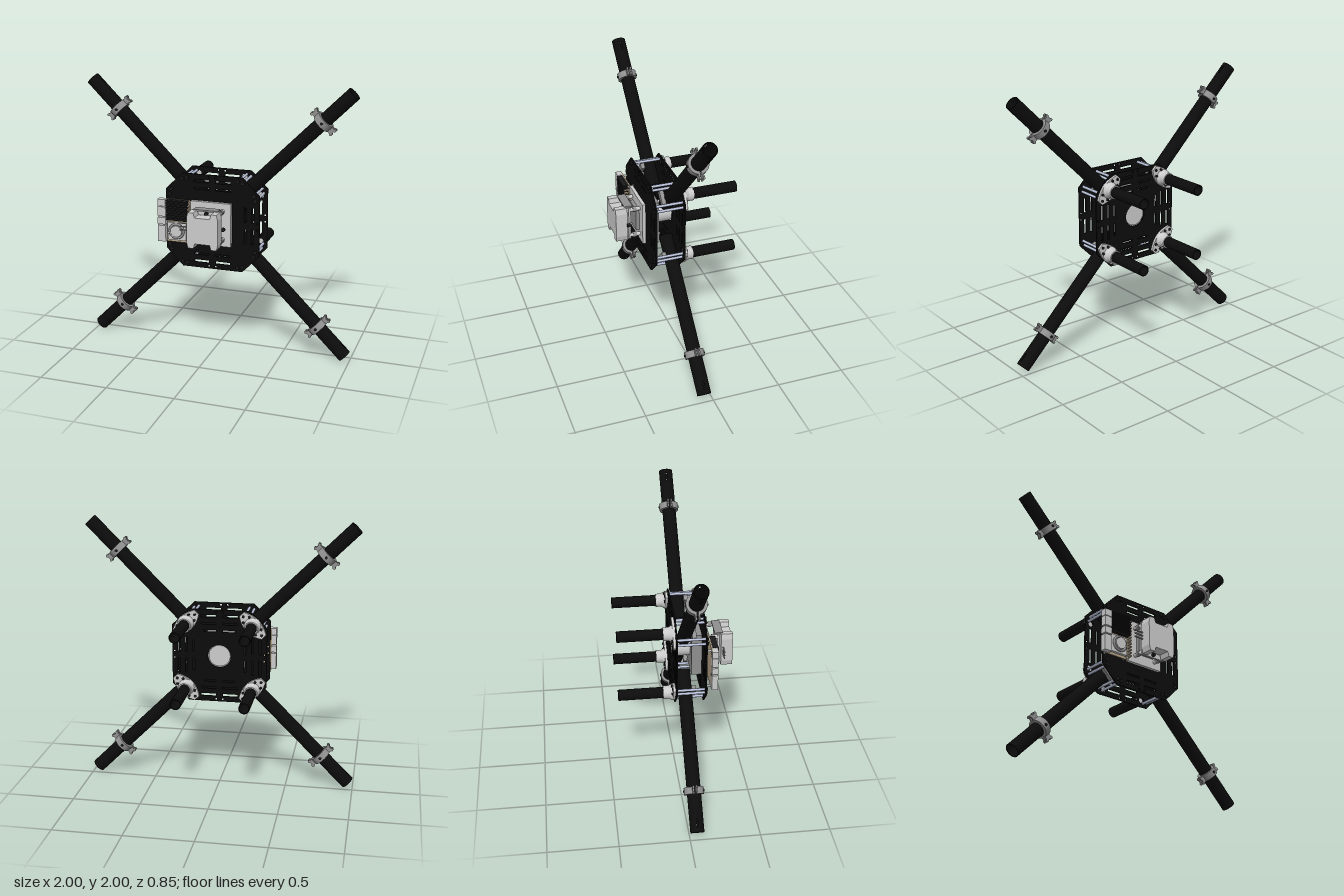
import * as THREE from 'three';

const mat = (color, side = THREE.FrontSide) => new THREE.MeshStandardMaterial({ color, side });
const carbon = mat(0x0c0c0c), carbonTube = mat(0x0c0c0c, THREE.DoubleSide);
const grey = mat(0xcccccc), metal = mat(0x909090), dark = mat(0x1c1c1c);
const steel = mat(0xb8c0d8), tan = mat(0xb5a488);

function add(parent, name, geo, material, x = 0, y = 0, z = 0) {
  const m = new THREE.Mesh(geo, material);
  m.name = name;
  m.position.set(x, y, z);
  parent.add(m);
  return m;
}
const box = (p, n, m, w, h, d, x, y, z) => add(p, n, new THREE.BoxGeometry(w, h, d), m, x, y, z);
// cylinder along z, running from z0 to z1
function rod(p, n, m, r, x, y, z0, z1, r1 = r, seg = 24) {
  const g = new THREE.CylinderGeometry(r1, r, z1 - z0, seg).rotateX(Math.PI / 2);
  return add(p, n, g, m, x, y, (z0 + z1) / 2);
}
const poly = pts => new THREE.Shape(pts.map(([x, y]) => new THREE.Vector2(x, y)));
const extrude = (shape, depth, curveSegments = 16) =>
  new THREE.ExtrudeGeometry(shape, { depth, bevelEnabled: false, curveSegments });
function circleHole(shape, x, y, r) {
  const h = new THREE.Path();
  h.absarc(x, y, r, 0, Math.PI * 2, true);
  shape.holes.push(h);
}
// rectangular slot turned about the plate centre
function slot(shape, x, y, w, h, turn) {
  const c = Math.cos(turn), s = Math.sin(turn);
  const pts = [[-w, -h], [-w, h], [w, h], [w, -h]].map(([a, b]) => {
    const px = x + a / 2, py = y + b / 2;
    return new THREE.Vector2(px * c - py * s, px * s + py * c);
  });
  shape.holes.push(new THREE.Path(pts));
}

// chamfered square plate with lightening slots
function plateGeometry(isBack) {
  const a = 0.35, b = 0.225;
  const s = poly([[a, -b], [a, b], [b, a], [-b, a], [-a, b], [-a, -b], [-b, -a], [b, -a]]);
  for (let i = 0; i < 4; i++) {
    const t = i * Math.PI / 2;
    for (const sx of [-1, 1]) {
      slot(s, sx * 0.08, 0.3, 0.11, 0.018, t);
      slot(s, sx * 0.08, 0.245, 0.11, 0.014, t);
      slot(s, sx * 0.025, 0.333, 0.014, 0.014, t);
      if (isBack) slot(s, sx * 0.07, 0.19, 0.09, 0.014, t);
      if (isBack) circleHole(s, 0.3 * Math.cos(t) - sx * 0.175 * Math.sin(t),
        0.3 * Math.sin(t) + sx * 0.175 * Math.cos(t), 0.022);
    }
  }
  if (isBack) circleHole(s, 0, 0, 0.085);
  return extrude(s, 0.01);
}

// hollow tube section along y, optionally only part of the way round
function tube(p, name, r, y0, y1, start = 0, len = Math.PI * 2) {
  const w = 0.006;
  const pts = [[r - w, y0], [r, y0], [r, y1], [r - w, y1], [r - w, y0]].map(q => new THREE.Vector2(...q));
  const g = new THREE.LatheGeometry(pts, 40, start, len).toNonIndexed();
  g.computeVertexNormals();
  return add(p, name, g, carbonTube);
}

function makeArm() {
  const arm = new THREE.Group();
  arm.name = 'arm';
  // wire slots pierce both sides close to the open end
  tube(arm, 'armTube', 0.05, 0.19, 1.27);
  const gap = 0.24;
  for (const side of [0, 1])
    tube(arm, 'slottedTube', 0.05, 1.27, 1.33, Math.PI / 2 + side * Math.PI + gap / 2, Math.PI - gap);
  tube(arm, 'armTubeTip', 0.05, 1.33, 1.362);

  // split clamp with bolted ears
  for (const s of [-1, 1]) {
    const half = new THREE.Shape();
    half.absarc(0, 0, 0.07, 0.08, Math.PI - 0.08, false);
    half.absarc(0, 0, 0.05, Math.PI - 0.1, 0.1, true);
    const g = extrude(half, 0.05, 24).rotateX(-Math.PI / 2);
    const m = add(arm, 'motorClamp', g, metal, 0, 1.045, 0);
    if (s > 0) m.rotation.y = Math.PI;
    for (const e of [-1, 1]) {
      box(arm, 'clampEar', metal, 0.035, 0.045, 0.012, e * 0.08, 1.07, s * 0.012);
      for (const d of [-1, 1])
        rod(arm, 'clampLug', metal, 0.011, e * 0.096, 1.07 + d * 0.02, s * 0.012 - 0.006, s * 0.012 + 0.006, 0.011, 12);
    }
    rod(arm, 'clampBolt', dark, 0.01, 0, 1.07, s * 0.071 - 0.004, s * 0.071 + 0.004, 0.01, 12);
  }
  // cradle under the arm root
  box(arm, 'armSaddle', metal, 0.11, 0.04, 0.03, 0, 0.34, 0.06);
  return arm;
}

function makeLeg() {
  const leg = new THREE.Group();
  leg.name = 'leg';
  const f = new THREE.Shape();
  f.moveTo(-0.115, -0.02);
  f.quadraticCurveTo(-0.06, -0.06, 0, -0.06);
  f.quadraticCurveTo(0.06, -0.06, 0.115, -0.02);
  f.lineTo(0.115, 0.025);
  f.quadraticCurveTo(0.05, 0.06, 0, 0.06);
  f.quadraticCurveTo(-0.05, 0.06, -0.115, 0.025);
  add(leg, 'legFlange', extrude(f, 0.018), grey, 0, 0, -0.04);
  rod(leg, 'legSocket', grey, 0.048, 0, 0, -0.105, -0.065);
  rod(leg, 'socketFlare', grey, 0.048, 0, 0, -0.065, -0.038, 0.062);
  for (const [x, y] of [[-0.095, 0], [0.095, 0], [-0.062, 0.03], [0.062, 0.03], [-0.062, -0.03], [0.062, -0.03]])
    rod(leg, 'flangeBolt', dark, 0.01, x, y, -0.048, -0.04, 0.01, 10);
  const t = tube(leg, 'legTube', 0.04, 0.09, 0.43);
  t.rotation.x = -Math.PI / 2;
  return leg;
}

function makeCamera() {
  const c = new THREE.Group();
  c.name = 'camera';
  box(c, 'mountPlate', grey, 0.3, 0.32, 0.025, 0, 0, 0.222);
  box(c, 'mountBlock', metal, 0.15, 0.17, 0.03, 0, 0, 0.245);
  for (const sx of [-1, 1]) for (const sy of [-1, 1]) {
    rod(c, 'mountPost', grey, 0.014, sx * 0.09, sy * 0.105, 0.23, 0.31, 0.014, 16);
    rod(c, 'damper', metal, 0.02, sx * 0.09, sy * 0.105, 0.265, 0.29, 0.02, 16);
  }
  box(c, 'carrier', grey, 0.21, 0.25, 0.015, 0, 0, 0.315);
  box(c, 'carrierTop', metal, 0.18, 0.012, 0.06, 0, 0.13, 0.32);
  // notched body, one quarter mirrored round
  const q = [[0.115, 0.02], [0.115, 0.09], [0.105, 0.13], [0.065, 0.13], [0.055, 0.095]];
  const mir = (sx, sy) => q.map(([x, y]) => [x * sx, y * sy]);
  const outline = [...mir(1, 1), ...mir(-1, 1).reverse(), ...mir(-1, -1), ...mir(1, -1).reverse()];
  add(c, 'cameraBody', extrude(poly(outline), 0.085), grey, 0, 0, 0.335);
  for (const [x, y] of [[0, 0.105], [0, -0.105], [0.125, 0]])
    rod(c, 'cameraScrew', dark, 0.014, x, y, 0.32, 0.34, 0.014, 16);
  for (const y of [-0.025, 0, 0.025])
    box(c, 'cablePin', metal, 0.08, 0.008, 0.008, -0.15, y, 0.35);
  return c;
}

function makeComputer() {
  const c = new THREE.Group();
  c.name = 'computerBoard';
  box(c, 'board', tan, 0.2, 0.32, 0.01, -0.255, 0, 0.232);
  for (const sx of [-1, 1]) for (const sy of [-1, 1])
    rod(c, 'boardSpacer', grey, 0.008, -0.255 + sx * 0.085, sy * 0.145, 0.2, 0.245, 0.008, 12);
  // finned heatsink
  box(c, 'heatsinkBase', dark, 0.16, 0.15, 0.015, -0.245, 0.085, 0.245);
  for (let i = 0; i < 9; i++)
    box(c, 'heatsinkFin', dark, 0.16, 0.008, 0.03, -0.245, 0.016 + i * 0.0172, 0.265);
  // cooling fan
  box(c, 'fanBase', grey, 0.14, 0.13, 0.02, -0.25, -0.075, 0.247);
  const ring = new THREE.TorusGeometry(0.052, 0.009, 10, 32);
  add(c, 'fanRing', ring, metal, -0.25, -0.07, 0.262);
  rod(c, 'fanHub', grey, 0.042, -0.25, -0.07, 0.255, 0.275);
  for (const [y, h] of [[0.135, 0.05], [0.07, 0.07], [0, 0.05], [-0.055, 0.04], [-0.11, 0.09]])
    box(c, 'socket', grey, 0.06, h, 0.045, -0.36, y, 0.25);
  for (let i = 0; i < 12; i++)
    box(c, 'headerPin', tan, 0.012, 0.01, 0.04, -0.158, -0.14 + i * 0.024, 0.255);
  return c;
}

export function createModel() {
  const root = new THREE.Group();
  root.name = 'quadcopterFrame';
  const body = new THREE.Group();
  body.name = 'body';
  body.position.y = 1;
  root.add(body);

  add(body, 'frontPlate', plateGeometry(false), carbon, 0, 0, 0.19);
  add(body, 'backPlate', plateGeometry(true), carbon, 0, 0, -0.02);
  rod(body, 'coreDrum', grey, 0.08, 0, 0, -0.01, 0.19, 0.08, 40);
  box(body, 'electronicsBox', metal, 0.32, 0.33, 0.075, 0, 0, 0.15);

  for (const sx of [-1, 1]) for (const sy of [-1, 1]) {
    const turn = Math.atan2(sy, sx) - Math.PI / 2;
    const arm = makeArm();
    arm.position.z = 0.055;
    arm.rotation.z = turn;
    body.add(arm);
    const leg = makeLeg();
    leg.position.set(sx * 0.245, sy * 0.245, 0);
    leg.rotation.z = turn;
    body.add(leg);
    // standoffs between the plates with bolt heads
    for (const [x, y] of [[0.31, 0.225], [0.225, 0.31], [0.32, 0.19], [0.19, 0.32]]) {
      rod(body, 'standoff', steel, 0.01, sx * x, sy * y, -0.01, 0.19, 0.01, 12);
      rod(body, 'boltHead', dark, 0.013, sx * x, sy * y, 0.2, 0.21, 0.013, 12);
      rod(body, 'boltHead', dark, 0.013, sx * x, sy * y, -0.032, -0.02, 0.013, 12);
    }
  }
  body.add(makeCamera(), makeComputer());
  return root;
}
